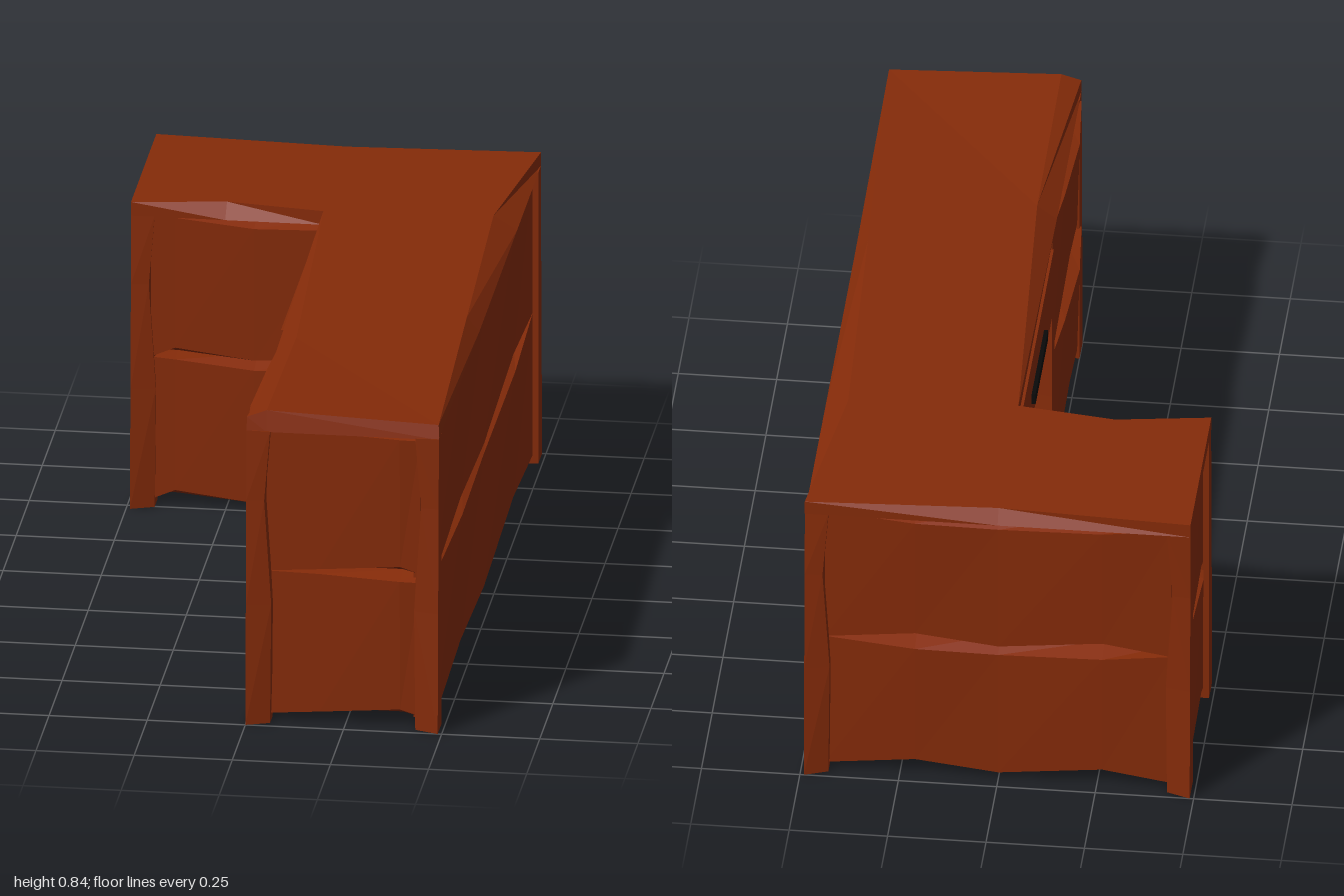
import * as THREE from 'three';

const wood = new THREE.MeshStandardMaterial({ color: 0x852b09, flatShading: true });
wood.name = 'reddish wood';
const black = new THREE.MeshStandardMaterial({ color: 0x0a0a0a, flatShading: true });
black.name = 'black metal';

// Closed solid through equal-sized rings of points, turned outward if needed
function loft(rings, cap = [[0, 1, 2], [0, 2, 3]]) {
  const n = rings[0].length, last = (rings.length - 1) * n, index = [];
  for (let i = 0; i < rings.length - 1; i++) {
    for (let k = 0; k < n; k++) {
      const a = i * n + k, b = i * n + (k + 1) % n;
      index.push(a, b, b + n, a, b + n, a + n);
    }
  }
  for (const [a, b, c] of cap) index.push(c, b, a, last + a, last + b, last + c);
  const pts = rings.flat().map(p => new THREE.Vector3(...p));
  let volume = 0;
  for (let i = 0; i < index.length; i += 3) {
    volume += pts[index[i]].dot(pts[index[i + 1]].clone().cross(pts[index[i + 2]]));
  }
  if (volume < 0) index.reverse();
  const g = new THREE.BufferGeometry().setFromPoints(pts);
  g.setIndex(index);
  const flat = g.toNonIndexed();
  flat.computeVertexNormals();
  return flat;
}

export function createModel() {
  const group = new THREE.Group();
  const add = (name, geometry, material = wood) => {
    const mesh = new THREE.Mesh(geometry, material);
    mesh.name = name;
    group.add(mesh);
    return mesh;
  };

  // L-shaped desktop: straight lower outline, uneven hewn upper outline
  const lower = [[-0.49, -0.98], [0, -0.98], [0.49, -0.98], [0.49, -0.52], [0.49, 0.2], [0.49, 0.975],
    [0.05, 0.975], [0, 0.975], [0, 0.4], [0, -0.495], [-0.25, -0.495], [-0.49, -0.495]];
  const upper = [[-0.49, -0.98], [0, -0.955], [0.49, -0.98], [0.43, -0.52], [0.458, 0.2], [0.488, 0.965],
    [0.05, 0.965], [0, 0.97], [0.05, 0.4], [0, -0.495], [-0.25, -0.53], [-0.49, -0.495]];
  const cap = [[5, 6, 8], [6, 7, 8], [4, 5, 8], [3, 4, 8], [3, 8, 9],
    [1, 2, 3], [1, 3, 9], [1, 9, 10], [0, 1, 10], [0, 10, 11]];
  add('desktop', loft([
    lower.map(([x, z]) => [x, 0.785, z]),
    upper.map(([x, z], i) => [x, i === 6 ? 0.84 : 0.822, z]),
  ], cap));

  // Posts: height, outer width, inner width, and flare of the outer corner towards the foot
  const profile = [[0, 0.06, 0.06, 0], [0.32, 0.063, 0.069, 0.009], [0.6, 0.045, 0.055, 0.018], [0.787, 0.06, 0.06, 0.024]];
  const posts = [
    ['frontLeftPost', 0.49, 1, 1, 1], ['frontInnerPost', 0, 1, -1, 1],
    ['pedestalPost', 0, 0.275, -1, -1], ['innerCornerPost', 0, -0.475, -1, 1],
    ['wingFrontPost', -0.49, -0.475, -1, 1],
    ['backLeftPost', 0.49, -1, 1, -1], ['backRightPost', -0.49, -1, -1, -1],
  ];
  for (const [name, x, z, sx, sz] of posts) {
    add(name, loft(profile.map(([y, outer, inner, f]) => [
      [x, y, z - sz * f], [x - sx * outer, y, z - sz * 0.022],
      [x - sx * inner, y, z - sz * 0.073], [x, y, z - sz * 0.073],
    ])));
  }

  // Paired panels: stations are [position along, lift of lower edge, drop of upper edge, bulge of upper edge]
  const long = [[0, 0, 0, 0], [0.26, 0.025, 0.02, 0.005], [0.5, 0, 0.026, 0], [0.8, 0.028, 0.018, 0.005], [1, 0, 0, 0]];
  const short = [[0, 0, 0, 0], [0.35, 0.01, 0.003, 0], [0.87, 0.026, 0.012, 0.006], [1, 0.01, 0.015, 0]];
  const wing = [[0, 0, 0, 0], [0.07, 0.027, 0.005, 0], [0.3, 0.002, 0.024, 0.004], [0.55, 0.012, 0.02, 0],
    [0.85, 0.025, 0.005, 0], [1, 0, 0, 0]];
  const side = [[0, 0, 0, 0], [0.3, 0.012, 0.008, 0.014], [0.7, 0.026, 0.018, 0.025], [1, 0.005, 0.01, 0.01]];
  const runs = [
    ['longSidePanel', [0.475, 0.94], [0.475, -0.94], long],
    ['backPanel', [0.44, -0.965], [-0.44, -0.965], long],
    ['wingEndPanel', [-0.475, -0.94], [-0.475, -0.54], short],
    ['wingFrontPanel', [-0.44, -0.5], [0.44, -0.5], wing],
    ['pedestalSidePanel', [0.006, 0.335], [0.006, 0.94], side],
    ['frontPanel', [0.045, 0.96], [0.44, 0.96], short],
  ];
  for (const [name, a, b, stations] of runs) {
    const dx = b[0] - a[0], dz = b[1] - a[1], length = Math.hypot(dx, dz);
    for (const [tier, y0, y1] of [['lower', 0.02, 0.405], ['upper', 0.405, 0.788]]) {
      const mesh = add(tier + name[0].toUpperCase() + name.slice(1), loft(stations.map(([t, lift, drop, out]) => [
        [t * length, y0 + lift, 0], [t * length, y1 - drop, out],
        [t * length, y1, -0.055], [t * length, y0, -0.055],
      ])));
      mesh.position.set(a[0], 0, a[1]);
      mesh.rotation.y = Math.atan2(-dz, dx);
    }
  }

  // Drawer front under the desktop with a dark handle
  add('drawerFront', new THREE.BoxGeometry(0.035, 0.18, 0.74)).position.set(0.01, 0.697, -0.11);
  add('drawerHandle', new THREE.BoxGeometry(0.01, 0.03, 0.29), black).position.set(-0.013, 0.683, -0.115);

  return group;
}
